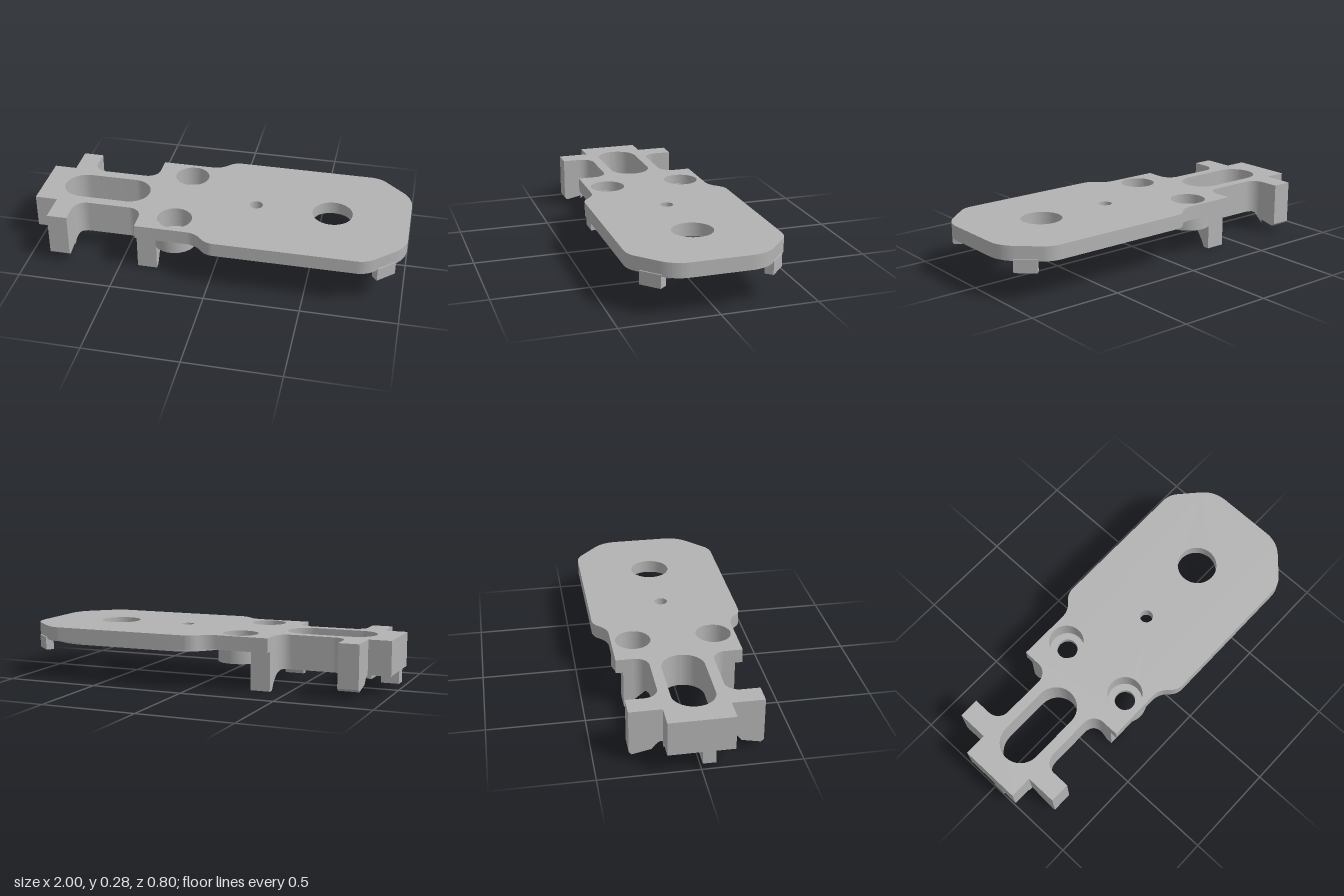
import * as THREE from 'three';
import { toCreasedNormals } from 'three/addons/utils/BufferGeometryUtils.js';

const metal = new THREE.MeshStandardMaterial({ color: 0xb2b2b2 });
metal.name = 'grey metal';

const TOP = 0.28;
const SIDES = [-1, 1];

// Concave underside between the legs: height as a function of distance from the centre line
function archHeight(z) {
  const t = Math.min(1, Math.max(0, (Math.abs(z) - 0.18) / 0.077));
  return 0.1 * (1 - Math.pow(t, 1.4));
}

// Plan shape (x, z) filled between two heights; bottomRule may reshape the underside
function planGeometry(shape, y0, y1, bottomRule) {
  const g = new THREE.ExtrudeGeometry(shape, { depth: y1 - y0, bevelEnabled: false, curveSegments: 20 });
  g.rotateX(Math.PI / 2).translate(0, y1, 0);
  if (bottomRule) {
    const p = g.attributes.position;
    for (let i = 0; i < p.count; i++) {
      if (p.getY(i) < y0 + 1e-4) p.setY(i, bottomRule(p.getX(i), p.getZ(i)));
    }
  }
  return toCreasedNormals(g, 0.5);
}

// Cross-section (z, y) swept along x
function sectionGeometry(points, x0, x1) {
  const shape = new THREE.Shape(points.map(([z, y]) => new THREE.Vector2(-z, y)));
  const g = new THREE.ExtrudeGeometry(shape, { depth: x1 - x0, bevelEnabled: false });
  g.rotateY(Math.PI / 2).translate(x0, 0, 0);
  return toCreasedNormals(g, 0.5);
}

function polygon(points) {
  return new THREE.Shape(points.map(([x, z]) => new THREE.Vector2(x, z)));
}

function circle(x, z, r) {
  return new THREE.Path().absarc(x, z, r, 0, Math.PI * 2, false);
}

// Closed polygon with every corner rounded; points are [x, z, radius]
function rounded(points, Type = THREE.Shape) {
  const s = new Type();
  const n = points.length;
  points.forEach(([x, z, r], i) => {
    const c = new THREE.Vector2(x, z);
    const toward = (q) => {
      const d = new THREE.Vector2(q[0], q[1]).sub(c);
      return c.clone().add(d.setLength(Math.min(r, d.length() * 0.49)));
    };
    const a = toward(points[(i + n - 1) % n]);
    const b = toward(points[(i + 1) % n]);
    if (i === 0) s.moveTo(a.x, a.y); else s.lineTo(a.x, a.y);
    if (r > 0) s.quadraticCurveTo(x, z, b.x, b.y);
  });
  s.closePath();
  return s;
}

function mirrored(half) {
  return [...half, ...half.slice().reverse().map(([x, z, r]) => [x, -z, r])];
}

const plateOutline = mirrored([
  [-0.405, 0.328, 0], [-0.08, 0.328, 0.05], [-0.01, 0.402, 0.04],
  [0.81, 0.402, 0.05], [1.0, 0.23, 0.08],
]);

// Outline of the underside recess, shrunk by d
function recessOutline(d) {
  return mirrored([
    [-0.085 + d, 0.2 - d * 0.5, 0.04], [0.04 + d * 0.5, 0.335 - d, 0.09],
    [0.77 - d * 0.4, 0.335 - d, 0.12], [0.935 - d, 0.17 - d * 0.5, 0.1],
  ]);
}

// Turned ring with an optional wider bore at one end
function ringGeometry(points) {
  const pts = points.map(([r, y]) => new THREE.Vector2(r, y));
  pts.push(pts[0].clone());
  return toCreasedNormals(new THREE.LatheGeometry(pts, 40), 0.5);
}

export function createModel() {
  const model = new THREE.Group();
  model.name = 'mountingPlate';
  const add = (name, geometry, x = 0, z = 0) => {
    const m = new THREE.Mesh(geometry, metal);
    m.name = name;
    m.position.set(x, 0, z);
    model.add(m);
  };
  const bossX = -0.215, bossZ = 0.213;

  // Top plate with its four round holes
  const plate = rounded(plateOutline);
  plate.holes.push(circle(0.593, 0, 0.106), circle(0.183, 0, 0.035));
  SIDES.forEach((s) => plate.holes.push(circle(bossX, s * bossZ, 0.092)));
  add('topPlate', planGeometry(plate, 0.24, TOP));

  // Rim below the plate, leaving the recess open
  const rim = rounded(plateOutline);
  rim.holes.push(rounded(recessOutline(0), THREE.Path));
  SIDES.forEach((s) => rim.holes.push(circle(bossX, s * bossZ, 0.092)));
  add('outerRim', planGeometry(rim, 0.205, 0.24));

  // Thin lip standing proud of the rim
  const lip = rounded(recessOutline(0));
  lip.holes.push(rounded(recessOutline(0.028), THREE.Path));
  add('innerLip', planGeometry(lip, 0.182, 0.24));

  // Collars around the two centre-line holes
  add('largeHoleCollar', ringGeometry([
    [0.106, 0.215], [0.125, 0.215], [0.125, 0.2], [0.15, 0.2], [0.15, 0.242], [0.106, 0.242],
  ]), 0.593);
  add('smallHoleCollar', ringGeometry([
    [0.035, 0.215], [0.052, 0.215], [0.052, 0.2], [0.075, 0.2], [0.075, 0.242], [0.035, 0.242],
  ]), 0.183);

  // Counterbored screw bosses
  SIDES.forEach((s) => add('screwBoss', ringGeometry([
    [0.055, 0.137], [0.116, 0.137], [0.116, 0.21], [0.092, 0.21], [0.092, 0.168], [0.055, 0.168],
  ]), bossX, s * bossZ));

  // Angled clips under the cut corners of the plate
  SIDES.forEach((s) => add('cornerClip', planGeometry(polygon([
    [0.868, s * 0.36], [0.953, s * 0.28], [0.922, s * 0.246], [0.84, s * 0.328],
  ]), 0.146, 0.215)));

  // Slotted neck
  const neck = polygon([[-1, -0.165], [-0.4, -0.165], [-0.4, 0.165], [-1, 0.165]]);
  const slot = new THREE.Path();
  slot.absarc(-0.772, 0, 0.11, Math.PI / 2, Math.PI * 1.5, false);
  slot.absarc(-0.515, 0, 0.11, -Math.PI / 2, Math.PI / 2, false);
  slot.closePath();
  neck.holes.push(slot);
  add('slottedNeck', planGeometry(neck, 0.1, TOP));

  // Sloping pad under the end of the slot
  const pad = new THREE.Shape();
  pad.moveTo(-0.9, -0.165);
  pad.lineTo(-0.9, 0.165);
  pad.lineTo(-0.772, 0.165);
  pad.lineTo(-0.772, 0.11);
  pad.absarc(-0.772, 0, 0.11, Math.PI / 2, Math.PI * 1.5, false);
  pad.lineTo(-0.772, -0.165);
  add('slopingPad', planGeometry(pad, 0.08, 0.1, (x) => 0.08 + 0.019 * (x + 0.9) / 0.128));

  // Small stop below the end of the neck
  add('endStop', sectionGeometry([[0.005, 0.1], [0.005, 0.033], [0.07, 0.033], [0.07, 0.1]], -1, -0.905));

  // Curve of the arch, from the outside in
  const arch = (z0) => Array.from({ length: 11 }, (_, i) => {
    const z = z0 + (0.18 - z0) * i / 10;
    return [z, archHeight(z)];
  });

  // Side arms
  SIDES.forEach((s) => add('sideArm', sectionGeometry([
    [0.165, TOP], [0.33, TOP], [0.33, 0.053], [0.316, 0.04], ...arch(0.22), [0.165, 0.1],
  ].map(([z, y]) => [s * z, y]), -0.88, -0.772)));

  // Arched cross wall with two legs
  const legHalf = [[0.29, 0.23], [0.29, 0], ...arch(0.257)];
  add('archedLegs', sectionGeometry([
    ...legHalf, ...legHalf.slice().reverse().map(([z, y]) => [-z, y]),
  ], -0.405, -0.3));

  // Concave fillets joining the neck to the arms and the plate
  for (const s of SIDES) {
    for (const [x, dir] of [[-0.772, 1], [-0.405, -1]]) {
      const f = new THREE.Shape();
      f.moveTo(x, s * 0.16);
      f.lineTo(x, s * 0.235);
      f.bezierCurveTo(x, s * 0.196, x + dir * 0.032, s * 0.165, x + dir * 0.07, s * 0.165);
      f.lineTo(x + dir * 0.07, s * 0.16);
      add('neckFillet', planGeometry(f, 0.1, TOP, (_, z) => archHeight(z)));
    }
  }
  return model;
}
